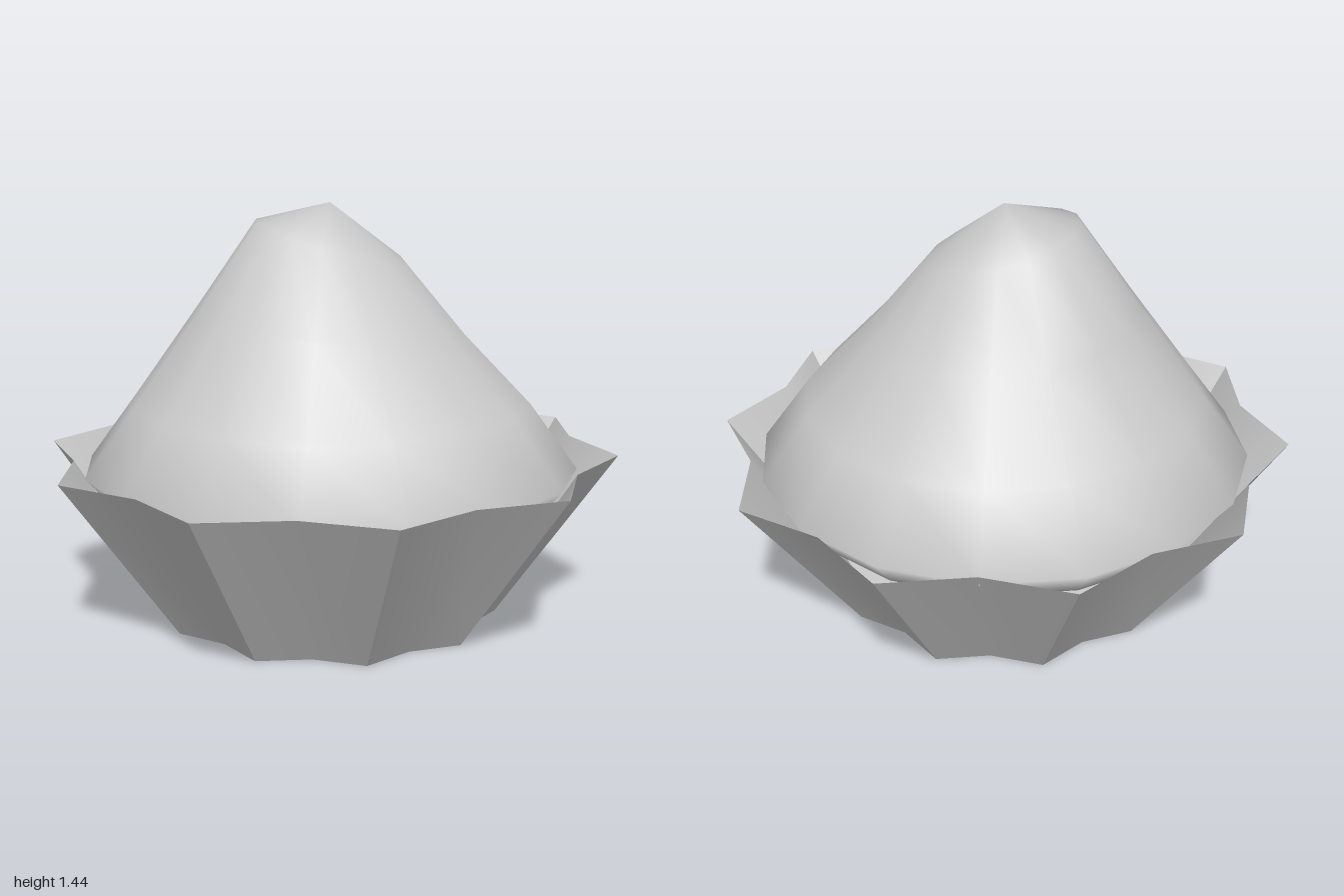
import * as THREE from 'three';
import { mergeVertices, toCreasedNormals } from 'three/addons/utils/BufferGeometryUtils.js';

const lathe = (profile, segments) =>
  new THREE.LatheGeometry(profile.map(([r, y]) => new THREE.Vector2(r, y)), segments);

// Move every vertex of a geometry by a rule
function reshape(geometry, rule) {
  const pos = geometry.attributes.position;
  const v = new THREE.Vector3();
  for (let i = 0; i < pos.count; i++) {
    rule(v.fromBufferAttribute(pos, i));
    pos.setXYZ(i, v.x, v.y, v.z);
  }
  return geometry;
}

// Pleated paper cup: ten sharp pleats with soft valleys between them, open at the top
function makeWrapper() {
  const cup = reshape(lathe([[0, 0], [0.59, 0], [1, 0.58]], 20), (v) => {
    const step = Math.round(Math.atan2(v.z, v.x) / (Math.PI / 10));
    if (step % 2 !== 0) {
      v.x *= 0.89;
      v.z *= 0.89;
    }
  });
  return toCreasedNormals(cup, 0.55);
}

// Smooth mound of icing with its top leaning up towards -x
function makeIcing() {
  const profile = [
    [0, 0.25], [0.55, 0.3], [0.78, 0.43], [0.86, 0.53],
    [0.695, 0.755], [0.465, 1.035], [0.255, 1.312], [0, 1.44],
  ];
  const icing = reshape(lathe(profile, 16), (v) => {
    const lean = 0.27 * THREE.MathUtils.clamp((v.y - 0.9) / 0.4, 0, 1);
    v.y -= v.x * lean;
    if (v.z > 0) v.z *= 0.98;
  });
  // Weld the seam and tip so the shading is continuous
  icing.deleteAttribute('uv');
  icing.deleteAttribute('normal');
  const welded = mergeVertices(icing, 1e-4);
  welded.computeVertexNormals();
  return welded;
}

export function createModel() {
  const group = new THREE.Group();
  group.name = 'cupcake';
  const add = (name, geometry, side) => {
    const mesh = new THREE.Mesh(geometry, new THREE.MeshStandardMaterial({ color: 0xcccccc, side }));
    mesh.name = name;
    group.add(mesh);
  };
  add('wrapper', makeWrapper(), THREE.DoubleSide);
  add('icing', makeIcing(), THREE.FrontSide);
  return group;
}
